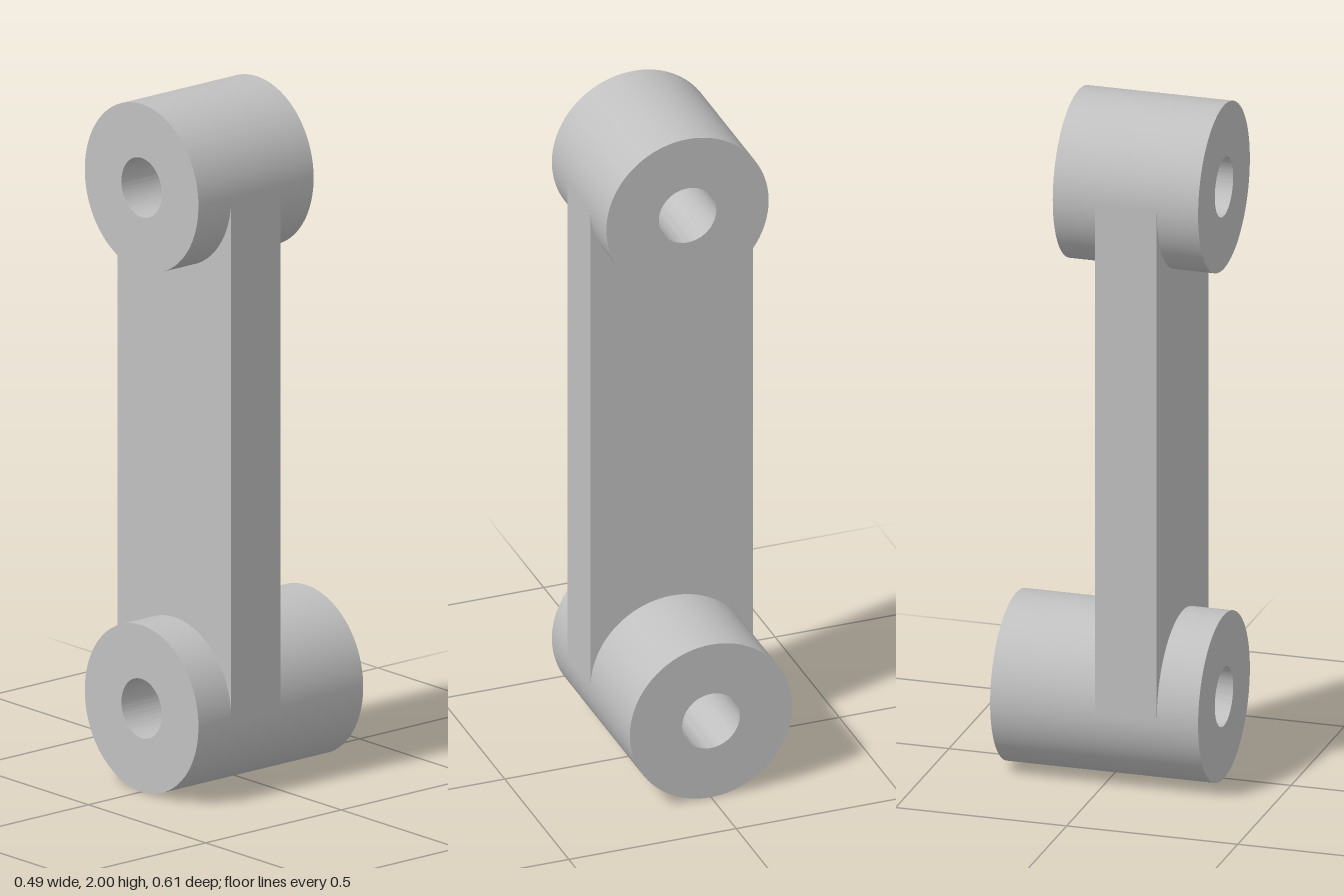
import * as THREE from 'three';
import { toCreasedNormals } from 'three/addons/utils/BufferGeometryUtils.js';

const R = 0.2425;          // hub radius
const BORE = 0.086;        // pin hole radius
const LOW = R, HIGH = 2 - R; // hub centre heights
const FRONT = 0.304;

export function createModel() {
  const group = new THREE.Group();
  group.name = 'linkArm';
  const steel = new THREE.MeshStandardMaterial({ color: 0xc0c0c0 });
  steel.name = 'grey metal';

  // Extrude a shape between two z positions, smooth around curves
  function addPart(name, shape, back, front) {
    const geo = new THREE.ExtrudeGeometry(shape, {
      depth: front - back, bevelEnabled: false, curveSegments: 64,
    });
    geo.translate(0, 0, back);
    const mesh = new THREE.Mesh(toCreasedNormals(geo, 0.5), steel);
    mesh.name = name;
    group.add(mesh);
  }

  // Round hub with a pin hole through it
  function hubShape(y) {
    const shape = new THREE.Shape().absarc(0, y, R, 0, Math.PI * 2, false);
    shape.holes.push(new THREE.Path().absarc(0, y, BORE, 0, Math.PI * 2, true));
    return shape;
  }
  addPart('upperHub', hubShape(HIGH), -0.121, FRONT);
  addPart('lowerHub', hubShape(LOW), -0.304, FRONT);

  // Flat web, its ends cut away inside the hubs to keep the bores clear
  const cut = 0.2;
  const web = new THREE.Shape();
  web.moveTo(R, LOW);
  web.lineTo(R, HIGH);
  web.lineTo(cut, HIGH);
  web.absarc(0, HIGH, cut, 0, -Math.PI, true);
  web.lineTo(-R, HIGH);
  web.lineTo(-R, LOW);
  web.lineTo(-cut, LOW);
  web.absarc(0, LOW, cut, Math.PI, 0, true);
  addPart('web', web, 0.002, 0.183);

  return group;
}
